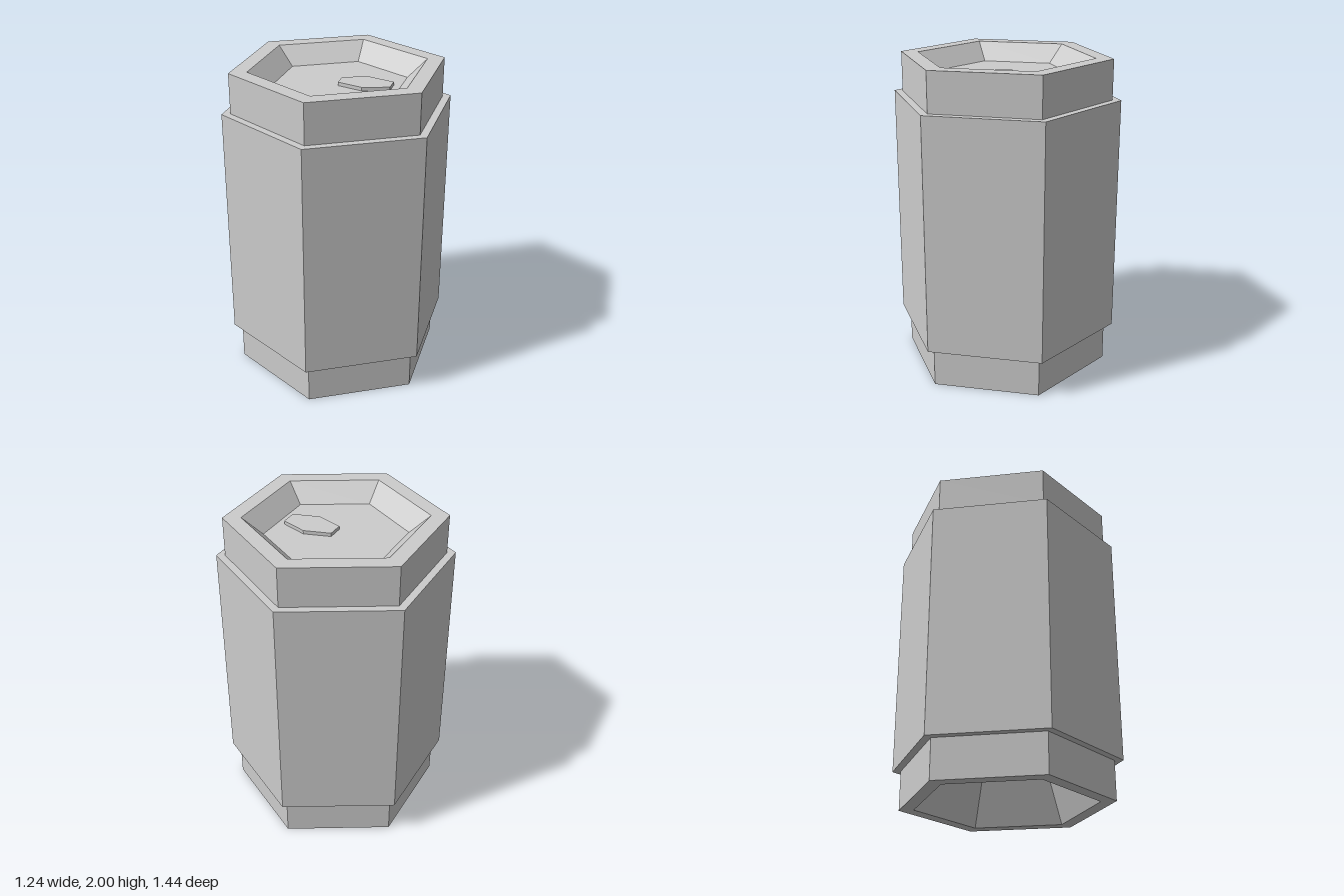
import * as THREE from 'three';

const material = new THREE.MeshStandardMaterial({ color: 0xcccccc, flatShading: true });

// Six-sided ring from [radius, height] points, listed so that outer walls run upward
function hexLathe(name, points) {
  const profile = points.map(([r, y]) => new THREE.Vector2(r, y));
  const mesh = new THREE.Mesh(new THREE.LatheGeometry(profile, 6), material);
  mesh.name = name;
  return mesh;
}

export function createModel() {
  const can = new THREE.Group();
  can.name = 'can';

  const body = 0.718, neck = 0.665, floor = 0.43;
  const low = 0.25, high = 1.75, lid = 1.89;

  // Base with a deep, slightly domed hollow underneath
  can.add(hexLathe('base', [[0, 0.33], [floor, 0.31], [0.57, 0], [neck, 0], [neck, low]]));

  // Wide middle with its two narrow shoulders
  can.add(hexLathe('body', [[neck, low], [body, low], [body, high], [neck, high]]));

  // Upper rim sloping down to the sunken lid
  can.add(hexLathe('rimAndLid', [[neck, high], [neck, 2], [0.555, 2], [floor, lid], [0, lid]]));

  // Pull tab: a thin stretched hexagon lying on the lid
  const outline = [[0.16, 0.05], [0, 0.1], [-0.16, 0.05], [-0.16, -0.05], [0, -0.1], [0.16, -0.05]];
  const shape = new THREE.Shape(outline.map(([x, y]) => new THREE.Vector2(x, y)));
  const tab = new THREE.Mesh(
    new THREE.ExtrudeGeometry(shape, { depth: 0.022, bevelEnabled: false }), material);
  tab.name = 'pullTab';
  tab.rotation.x = -Math.PI / 2;
  tab.position.set(0.167, lid, 0);
  can.add(tab);

  return can;
}
